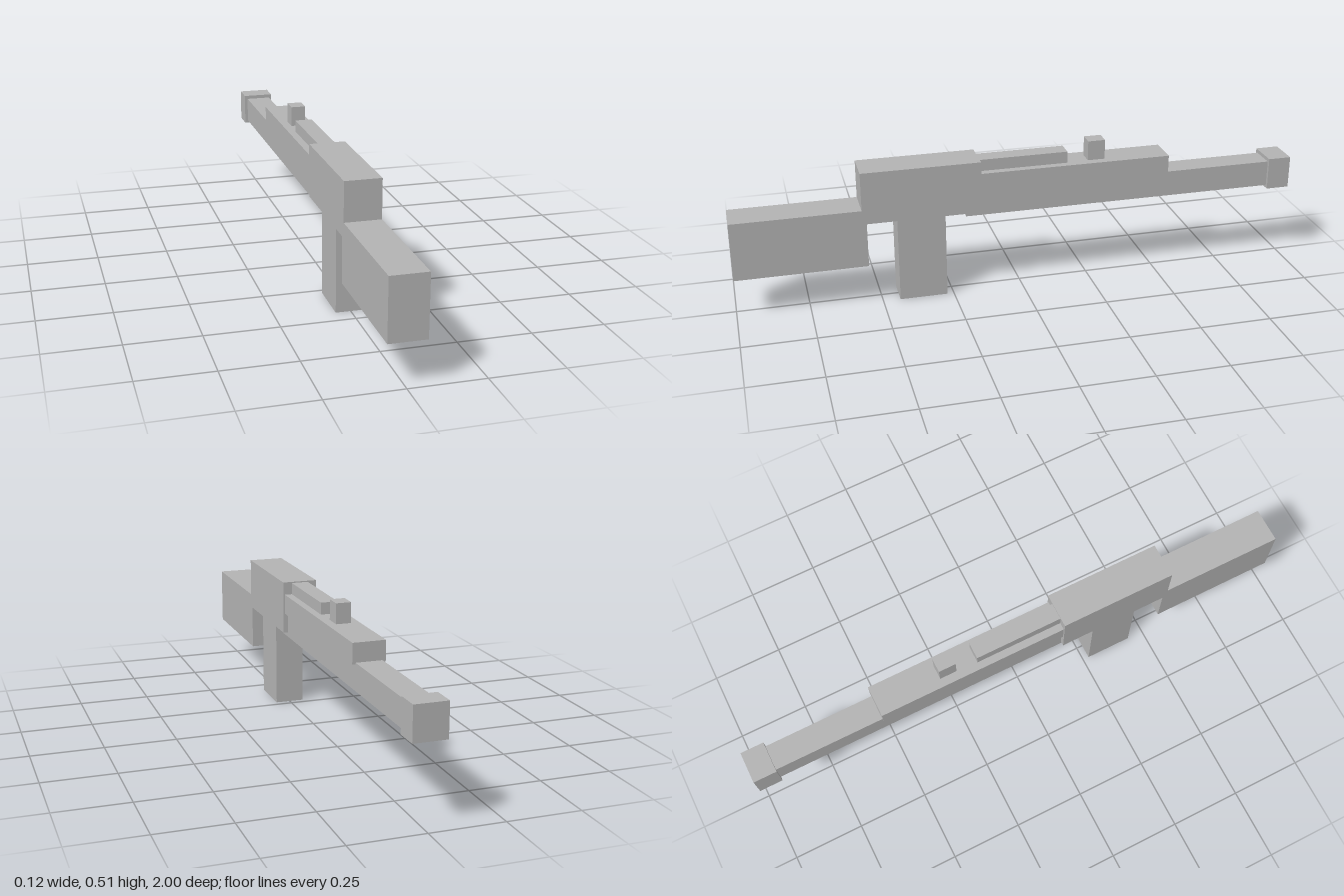
import * as THREE from 'three';

export function createModel() {
  const model = new THREE.Group();
  const grey = new THREE.MeshStandardMaterial({ color: 0xb4b4b4 });
  grey.name = 'plain grey';

  // Box centred on x, given by its half width and its y and z ranges
  function block(name, halfWidth, y0, y1, z0, z1) {
    const mesh = new THREE.Mesh(new THREE.BoxGeometry(halfWidth * 2, y1 - y0, z1 - z0), grey);
    mesh.name = name;
    mesh.position.set(0, (y0 + y1) / 2, (z0 + z1) / 2);
    model.add(mesh);
  }

  // Rear half
  block('stock', 0.062, 0.148, 0.355, 0.545, 1);
  block('receiver', 0.062, 0.305, 0.49, 0.148, 0.56);
  block('grip', 0.051, 0, 0.306, 0.273, 0.44);

  // Long half
  block('barrel', 0.045, 0.288, 0.38, -0.95, 0.2);
  block('muzzle', 0.056, 0.278, 0.393, -1, -0.918);
  block('handguard', 0.056, 0.375, 0.445, -0.53, 0.16);

  // Top fittings
  block('topRail', 0.03, 0.44, 0.486, -0.165, 0.16);
  block('frontSight', 0.026, 0.44, 0.515, -0.302, -0.241);

  return model;
}
